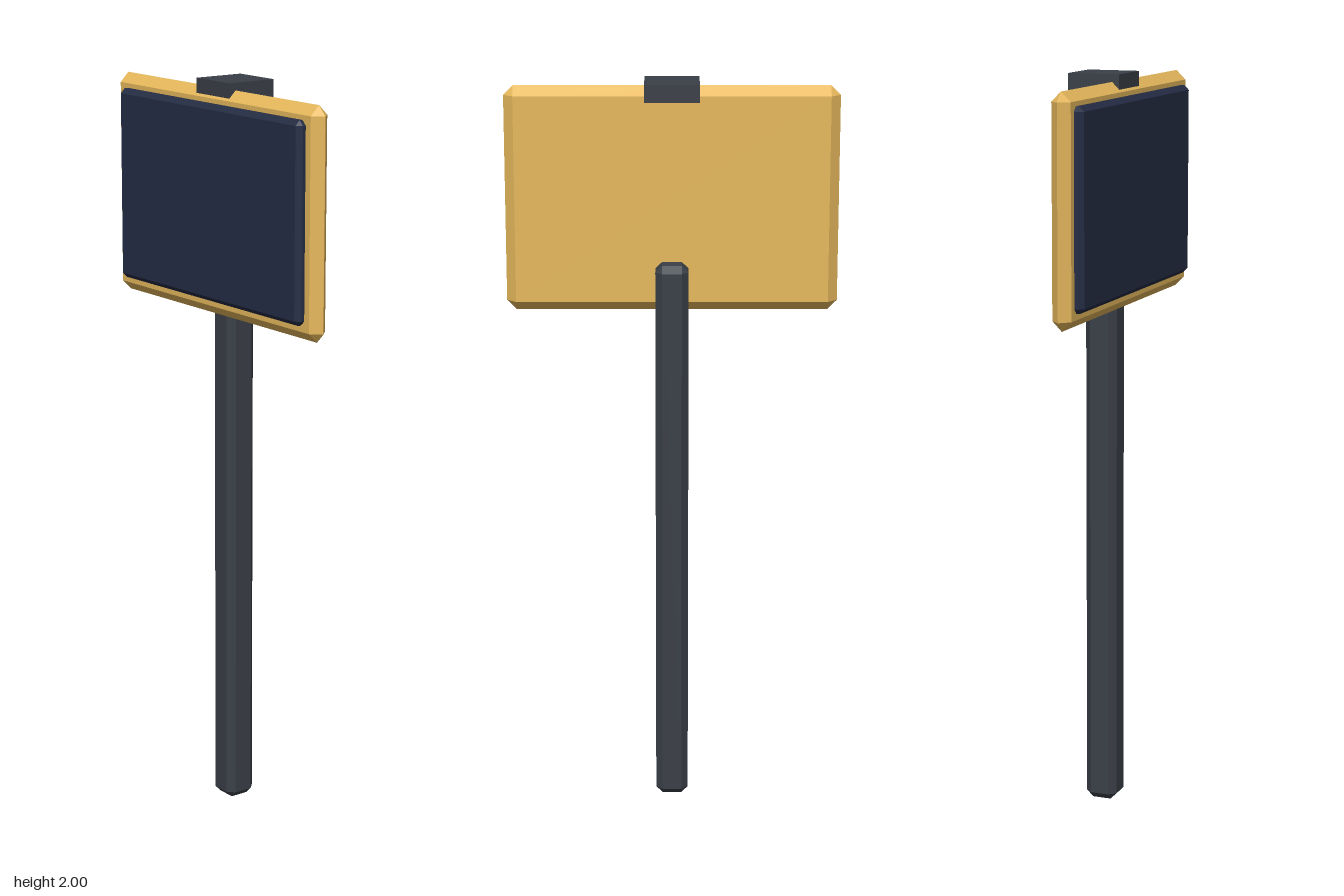
import * as THREE from 'three';
import { ConvexGeometry } from 'three/addons/geometries/ConvexGeometry.js';

const material = (color) => new THREE.MeshStandardMaterial({ color, flatShading: true });

// Box with every edge cut by a single flat chamfer c
function chamferBox(w, h, d, c) {
  const [x, y, z] = [w / 2, h / 2, d / 2];
  const points = [];
  for (const sx of [-1, 1]) for (const sy of [-1, 1]) for (const sz of [-1, 1]) {
    points.push(
      new THREE.Vector3(sx * x, sy * (y - c), sz * (z - c)),
      new THREE.Vector3(sx * (x - c), sy * y, sz * (z - c)),
      new THREE.Vector3(sx * (x - c), sy * (y - c), sz * z)
    );
  }
  return new ConvexGeometry(points);
}

export function createModel() {
  const model = new THREE.Group();
  model.name = 'signPost';
  const yellow = material(0xe6b85c);
  const navy = material(0x252d45);
  const charcoal = material(0x3a3f47);

  const add = (name, geometry, mat, x, y, z) => {
    const mesh = new THREE.Mesh(geometry, mat);
    mesh.name = name;
    mesh.position.set(x, y, z);
    model.add(mesh);
  };

  // Upright post, standing behind the board
  add('post', chamferBox(0.088, 1.515, 0.088, 0.018), charcoal, 0, 0.7575, -0.011);

  // Board frame, its chamfers meeting in a ridge around the rim
  add('boardFrame', chamferBox(0.88, 0.6, 0.052, 0.0255), yellow, 0, 1.68, 0.037);

  // Dark panel set on the front of the frame
  add('panel', chamferBox(0.79, 0.52, 0.045, 0.013), navy, 0, 1.682, 0.0625);

  // Small block over the top edge
  add('topBlock', new THREE.BoxGeometry(0.143, 0.046, 0.143), charcoal, 0, 1.977, -0.0145);

  return model;
}
